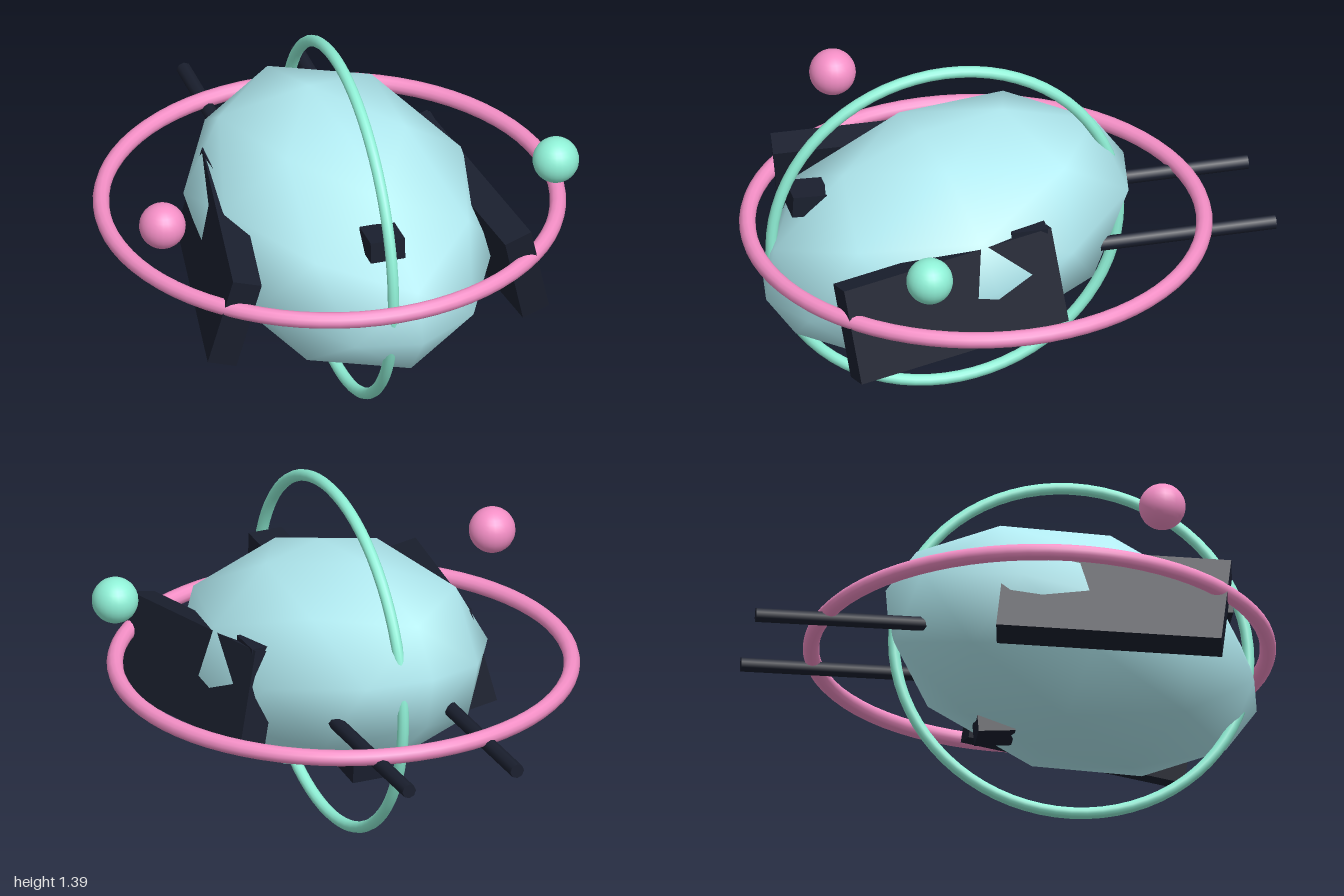
import * as THREE from 'three';
import { mergeVertices } from 'three/addons/utils/BufferGeometryUtils.js';

const CENTER_Y = 0.693;

function material(color) {
  return new THREE.MeshStandardMaterial({ color });
}

export function createModel() {
  const model = new THREE.Group();
  const shell = material(0xb2ebf2);
  const dark = material(0x1a1f2e);
  const pink = material(0xf48fc6);
  const mint = material(0x8ff0d6);

  function add(name, geometry, mat, position, rotation = [0, 0, 0]) {
    const mesh = new THREE.Mesh(geometry, mat);
    mesh.name = name;
    mesh.position.set(...position);
    mesh.rotation.set(...rotation);
    model.add(mesh);
    return mesh;
  }

  // Smooth-shaded, coarsely subdivided ellipsoid, nose tipped down and turned
  const bodyShape = new THREE.OctahedronGeometry(1, 2);
  bodyShape.deleteAttribute('uv');
  const body = add('body', mergeVertices(bodyShape), shell, [0, CENTER_Y, 0.222], [0.22, 0.14, 0]);
  body.scale.set(0.55, 0.434, 0.74);

  // Rings around the body
  add('horizontalRing', new THREE.TorusGeometry(0.858, 0.031, 12, 72), pink,
    [0, CENTER_Y + 0.003, 0.102], [Math.PI / 2, 0, 0]);
  add('verticalRing', new THREE.TorusGeometry(0.671, 0.022, 12, 72), mint,
    [0, CENTER_Y, 0.222], [0, Math.PI / 2, 0]);

  // Small blocks: nose, belly
  const block = new THREE.BoxGeometry(0.135, 0.085, 0.14);
  add('noseBlock', block, dark, [0, 0.895, 0.755], [-0.05, 0, 0]);
  add('bellyBlock', block, dark, [0, 0.358, -0.07], [-0.08, 0, 0]);

  // Mirrored parts
  const wing = new THREE.BoxGeometry(0.112, 0.378, 0.85);
  const rod = new THREE.CylinderGeometry(0.028, 0.028, 0.75, 8);
  const orb = new THREE.SphereGeometry(0.088, 24, 16);
  for (const side of [1, -1]) {
    const label = side > 0 ? 'left' : 'right';
    add(label + 'Wing', wing, dark, [side * 0.504, 0.67, 0.32], [0.09, side * 0.17, side * 0.23]);
    add(label + 'Rod', rod, dark, [side * 0.222, 0.668, -0.625], [Math.PI / 2, 0, 0]);
    add(label + 'ShoulderBlock', block, dark, [side * 0.383, 0.863, 0.003]);
    add(label + 'Orb', orb, side > 0 ? mint : pink, [side * 0.775, 0.946, 0.468]);
  }

  return model;
}
